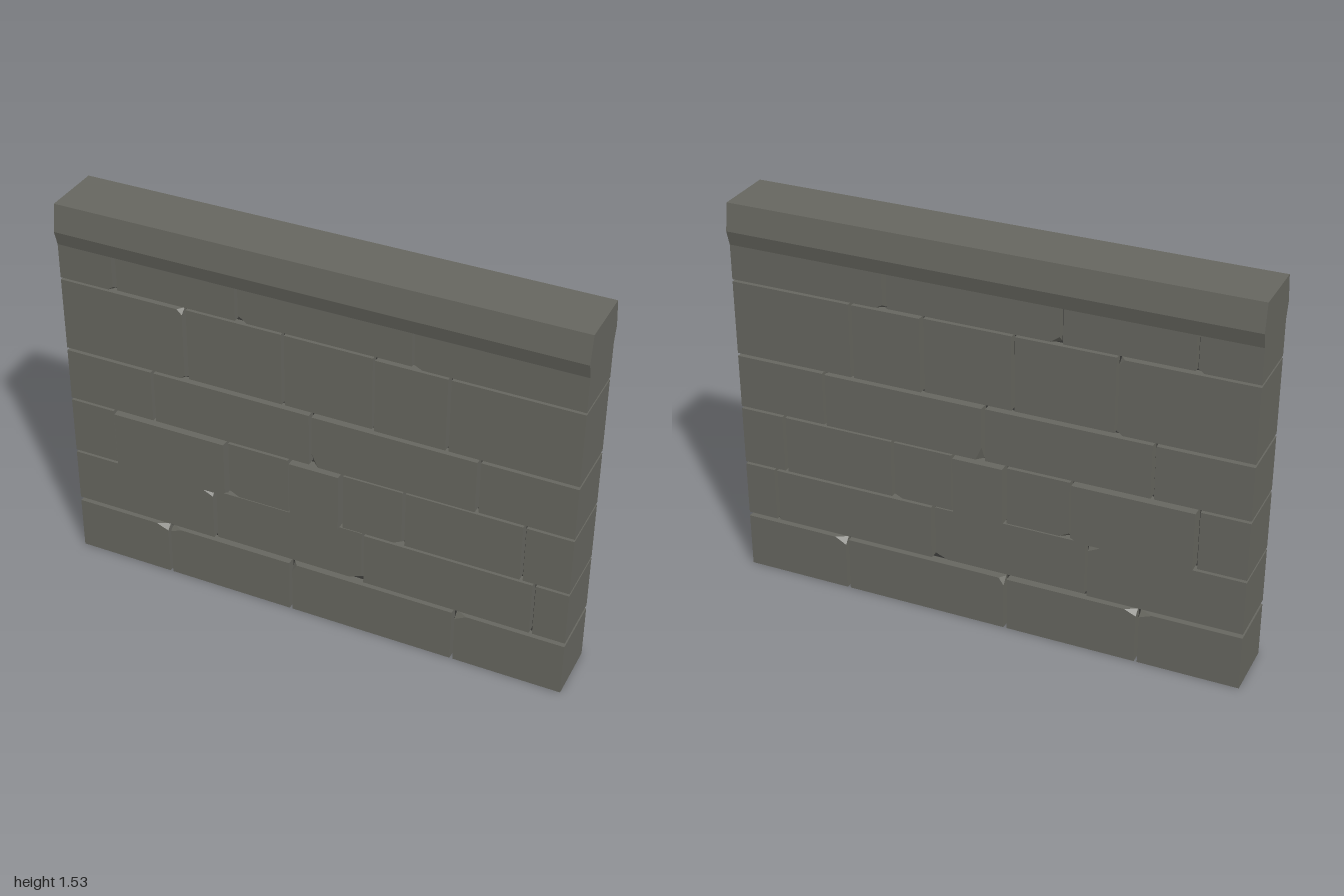
import * as THREE from 'three';
import { ConvexGeometry } from 'three/addons/geometries/ConvexGeometry.js';

const JOINT = 0.012; // width of the gap between two stones

// Each course: height range, joint positions, half depth of each stone,
// and chipped corners as [stone, side x, side y, chip width, chip height]
const COURSES = [
  { y: [0, 0.218], joints: [-0.605, -0.085, 0.573], depth: [0.117, 0.117, 0.117, 0.117],
    chips: [[0, 1, 1, 0.05, 0.02], [1, -1, 1, 0.045, 0.02], [2, -1, 1, 0.02, 0.03], [3, -1, 1, 0.045, 0.025]] },
  { y: [0.235, 0.453], joints: [-0.402, 0.208, 0.87], depth: [0.117, 0.109, 0.117, 0.117],
    chips: [[0, 1, 1, 0.05, 0.025], [1, 1, -1, 0.05, 0.02]] },
  { y: [0.463, 0.695], joints: [-0.812, -0.34, -0.085, 0.123, 0.367, 0.82],
    depth: [0.117, 0.134, 0.117, 0.134, 0.117, 0.117, 0.117],
    chips: [[1, 1, -1, 0.03, 0.015], [2, -1, -1, 0.04, 0.02], [4, 1, -1, 0.03, 0.015]] },
  { y: [0.705, 0.917], joints: [-0.641, 0, 0.641], depth: [0.117, 0.117, 0.121, 0.117],
    chips: [[2, -1, -1, 0.025, 0.055]] },
  { y: [0.929, 1.221], joints: [-0.497, -0.11, 0.24, 0.52], depth: [0.117, 0.109, 0.109, 0.117, 0.117],
    chips: [[0, 1, 1, 0.02, 0.02], [0, 1, -1, 0.02, 0.015]] },
  { y: [1.23, 1.369], joints: [-0.775, -0.288, 0.383], depth: [0.117, 0.109, 0.109, 0.117],
    chips: [[0, 1, -1, 0.02, 0.015], [2, -1, -1, 0.035, 0.025], [3, -1, -1, 0.03, 0.015]] },
];

// A block whose chipped corners are sliced off on both faces of the wall
function stoneGeometry(x0, x1, y0, y1, d, chips) {
  const points = [];
  for (const sx of [-1, 1]) for (const sy of [-1, 1]) for (const sz of [-1, 1]) {
    const corner = new THREE.Vector3(sx < 0 ? x0 : x1, sy < 0 ? y0 : y1, sz * d);
    const chip = chips.find((c) => c[1] === sx && c[2] === sy);
    if (!chip) { points.push(corner); continue; }
    points.push(
      corner.clone().add(new THREE.Vector3(-sx * chip[3], 0, 0)),
      corner.clone().add(new THREE.Vector3(0, -sy * chip[4], 0)),
      corner.clone().add(new THREE.Vector3(0, 0, -sz * 0.025)));
  }
  return new ConvexGeometry(points);
}

export function createModel() {
  const wall = new THREE.Group();
  wall.name = 'stoneWall';
  const stone = new THREE.MeshStandardMaterial({ color: 0x66665f });
  stone.name = 'grey stone';
  const mortar = new THREE.MeshStandardMaterial({ color: 0x3b3b39 });
  mortar.name = 'dark mortar';

  // Courses of stones
  COURSES.forEach(({ y, joints, depth, chips }, row) => {
    const course = new THREE.Group();
    course.name = `course${row + 1}`;
    depth.forEach((d, i) => {
      const x0 = i === 0 ? -1 : joints[i - 1] + JOINT / 2;
      const x1 = i === joints.length ? 1 : joints[i] - JOINT / 2;
      const own = chips.filter((c) => c[0] === i);
      const block = new THREE.Mesh(stoneGeometry(x0, x1, y[0], y[1], d, own), stone);
      block.name = 'stone';
      course.add(block);
    });
    wall.add(course);
  });

  // Recessed mortar core seen in the joints
  const core = new THREE.Mesh(new THREE.BoxGeometry(1.98, 1.36, 0.164), mortar);
  core.name = 'mortarCore';
  core.position.y = 0.69;
  wall.add(core);

  // Coping stone with a ridge along each face
  const profile = new THREE.Shape([
    [-0.117, 1.367], [0.117, 1.367], [0.134, 1.425],
    [0.117, 1.53], [-0.117, 1.53], [-0.134, 1.425],
  ].map(([z, y]) => new THREE.Vector2(z, y)));
  const copingGeometry = new THREE.ExtrudeGeometry(profile, { depth: 2, bevelEnabled: false });
  copingGeometry.translate(0, 0, -1).rotateY(Math.PI / 2);
  const coping = new THREE.Mesh(copingGeometry, stone);
  coping.name = 'coping';
  wall.add(coping);

  return wall;
}
